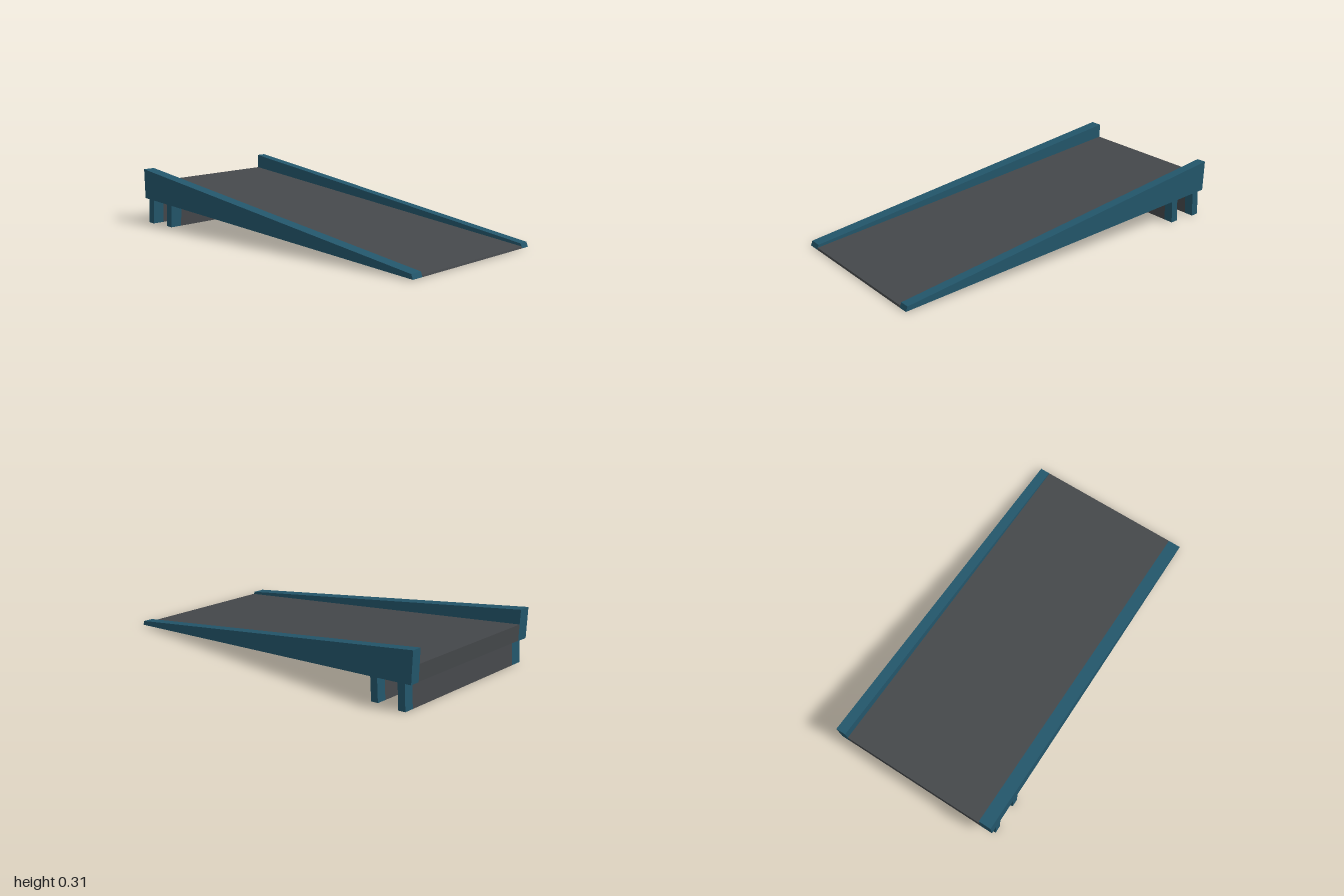
import * as THREE from 'three';

export function createModel() {
  const model = new THREE.Group();
  const blue = new THREE.MeshStandardMaterial({ color: 0x23566b });
  blue.name = 'blue paint';
  const grey = new THREE.MeshStandardMaterial({ color: 0x45484b });
  grey.name = 'dark grey surface';

  // Extrude a side profile (x, y) between two z positions
  function slab(name, points, z0, z1, material) {
    const shape = new THREE.Shape(points.map(([x, y]) => new THREE.Vector2(x, y)));
    const geometry = new THREE.ExtrudeGeometry(shape, { depth: z1 - z0, bevelEnabled: false });
    geometry.translate(0, 0, z0);
    const mesh = new THREE.Mesh(geometry, material);
    mesh.name = name;
    model.add(mesh);
  }

  // Side spans: front rail is slightly wider than the back one
  const inFront = 0.405, inBack = -0.42, outer = 0.475;
  const sides = [['front', inFront, outer], ['back', -outer, inBack]];

  // Tapering side rails with a small slanted nose at the low end
  const rail = [[-0.994, 0.142], [1, 0.004], [0.99, 0.029], [-1, 0.311]];
  // Wedge-shaped driving deck between the rails
  const deck = [[-0.994, 0.144], [1, 0.004], [0.997, 0.014], [-0.997, 0.232]];
  slab('deck', deck, inBack, inFront, grey);
  for (const [side, z0, z1] of sides) slab(side + 'Rail', rail, z0, z1, blue);

  // Two leaning supports: blue legs under the rails, grey beam between them
  for (const [i, x] of [-0.965, -0.8].entries()) {
    const top = i ? 0.129 : 0.141;
    const leg = [[x, 0.003], [x + 0.042, 0], [x + 0.05, top], [x + 0.008, top + 0.003]];
    slab('crossBeam' + (i + 1), leg, inBack, inFront, grey);
    for (const [side, z0, z1] of sides) slab(side + 'Leg' + (i + 1), leg, z0, z1, blue);
  }
  return model;
}
